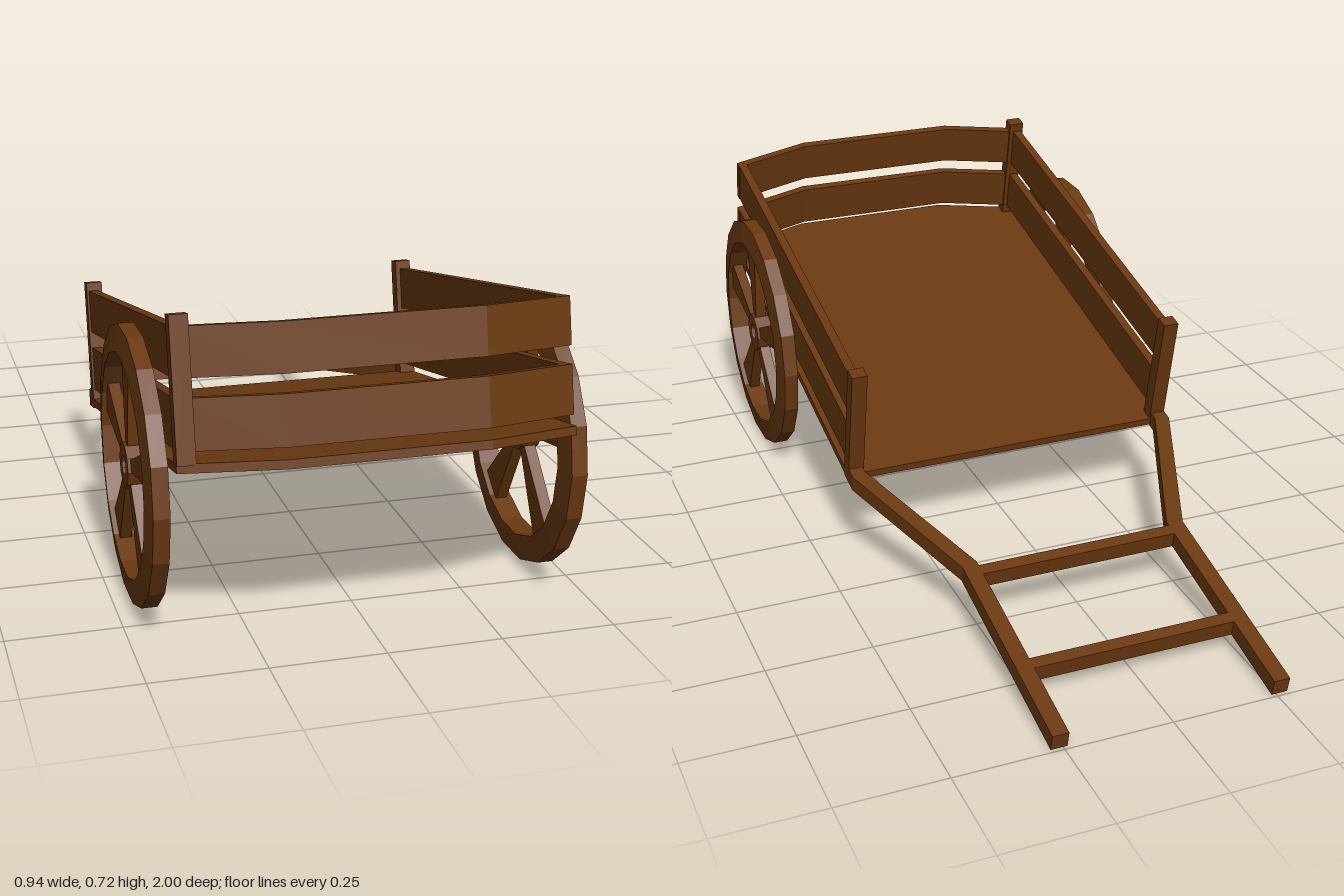
import * as THREE from 'three';

export function createModel() {
  const model = new THREE.Group();
  model.name = 'handCart';
  const wood = new THREE.MeshStandardMaterial({ color: 0x6a3910, flatShading: true });

  const add = (parent, name, geometry) => {
    const mesh = new THREE.Mesh(geometry, wood);
    mesh.name = name;
    parent.add(mesh);
    return mesh;
  };

  // Cart body frame, tilted so the handles rest on the ground
  const body = new THREE.Group();
  body.name = 'body';
  body.position.y = 0.234;
  body.rotation.x = -0.208;
  model.add(body);

  // Plan outline [x, z] extruded between two heights
  const slab = (name, outline, bottom, top) => {
    const shape = new THREE.Shape(outline.map(([x, z]) => new THREE.Vector2(x, z)));
    const geo = new THREE.ExtrudeGeometry(shape, { depth: top - bottom, bevelEnabled: false });
    geo.rotateX(Math.PI / 2).translate(0, top, 0);
    return add(body, name, geo);
  };
  const block = (name, x0, x1, y0, y1, z0, z1) => {
    const mesh = add(body, name, new THREE.BoxGeometry(x1 - x0, y1 - y0, z1 - z0));
    mesh.position.set((x0 + x1) / 2, (y0 + y1) / 2, (z0 + z1) / 2);
  };

  // Bed with angled front edge
  slab('bed', [[-0.42, -0.09], [0.42, -0.09], [0.42, 0.956], [0.21, 1.022], [-0.21, 1.022], [-0.42, 0.956]], -0.016, 0.003);

  // Two rows of boards around the front and sides
  const front = [[-0.417, 0.952], [-0.21, 1.017], [0.21, 1.017], [0.417, 0.952]];
  const frontInner = front.map(([x, z]) => [x, z - 0.022]).reverse();
  for (const [bottom, top] of [[0.026, 0.131], [0.17, 0.272]]) {
    slab('frontBoard', [...front, ...frontInner], bottom, top);
    block('leftBoard', 0.393, 0.415, bottom, top, -0.075, 0.945);
    block('rightBoard', -0.415, -0.393, bottom, top, -0.075, 0.945);
  }

  // Corner posts
  block('rearLeftPost', 0.382, 0.42, 0, 0.292, -0.09, -0.055);
  block('rearRightPost', -0.42, -0.382, 0, 0.292, -0.09, -0.055);
  block('frontRightPost', -0.421, -0.382, 0, 0.296, 0.936, 0.969);

  // Bent handles and cross bars
  for (const s of [1, -1]) {
    const outline = [[0.24, -1.017], [0.278, -1.017], [0.278, -0.49], [0.42, -0.12], [0.42, -0.06],
      [0.385, -0.06], [0.385, -0.11], [0.24, -0.48]];
    slab(s > 0 ? 'leftHandle' : 'rightHandle', outline.map(([x, z]) => [s * x, z]), -0.02, 0.02);
  }
  for (const z of [-0.508, -0.812]) block('crossBar', -0.245, 0.245, -0.02, 0.02, z - 0.015, z + 0.015);

  // Wheels: bevelled rim, five flared spokes, open hub
  const ring = (r0, r1, w0, w1, sides) => {
    const profile = [[r0, -w0], [r1, -w1], [r1, w1], [r0, w0], [r0, -w0]];
    return new THREE.LatheGeometry(profile.map(([r, y]) => new THREE.Vector2(r, y)), sides).rotateZ(Math.PI / 2);
  };
  for (const s of [1, -1]) {
    const wheel = new THREE.Group();
    wheel.name = s > 0 ? 'leftWheel' : 'rightWheel';
    wheel.position.set(s * 0.445, 0.311, 0.608);
    model.add(wheel);
    add(wheel, 'rim', ring(0.245, 0.304, 0.025, 0.0175, 18));
    add(wheel, 'hub', ring(0.022, 0.05, 0.02, 0.02, 10));
    for (let i = 0; i < 5; i++) {
      const geo = new THREE.BoxGeometry(0.026, 0.215, 0.08).translate(0, 0.145, 0);
      const p = geo.attributes.position;
      for (let k = 0; k < p.count; k++) if (p.getY(k) < 0.1) p.setZ(k, p.getZ(k) * 0.3);
      geo.computeVertexNormals();
      add(wheel, 'spoke', geo).rotation.x = (i * Math.PI * 2) / 5;
    }
  }
  return model;
}
